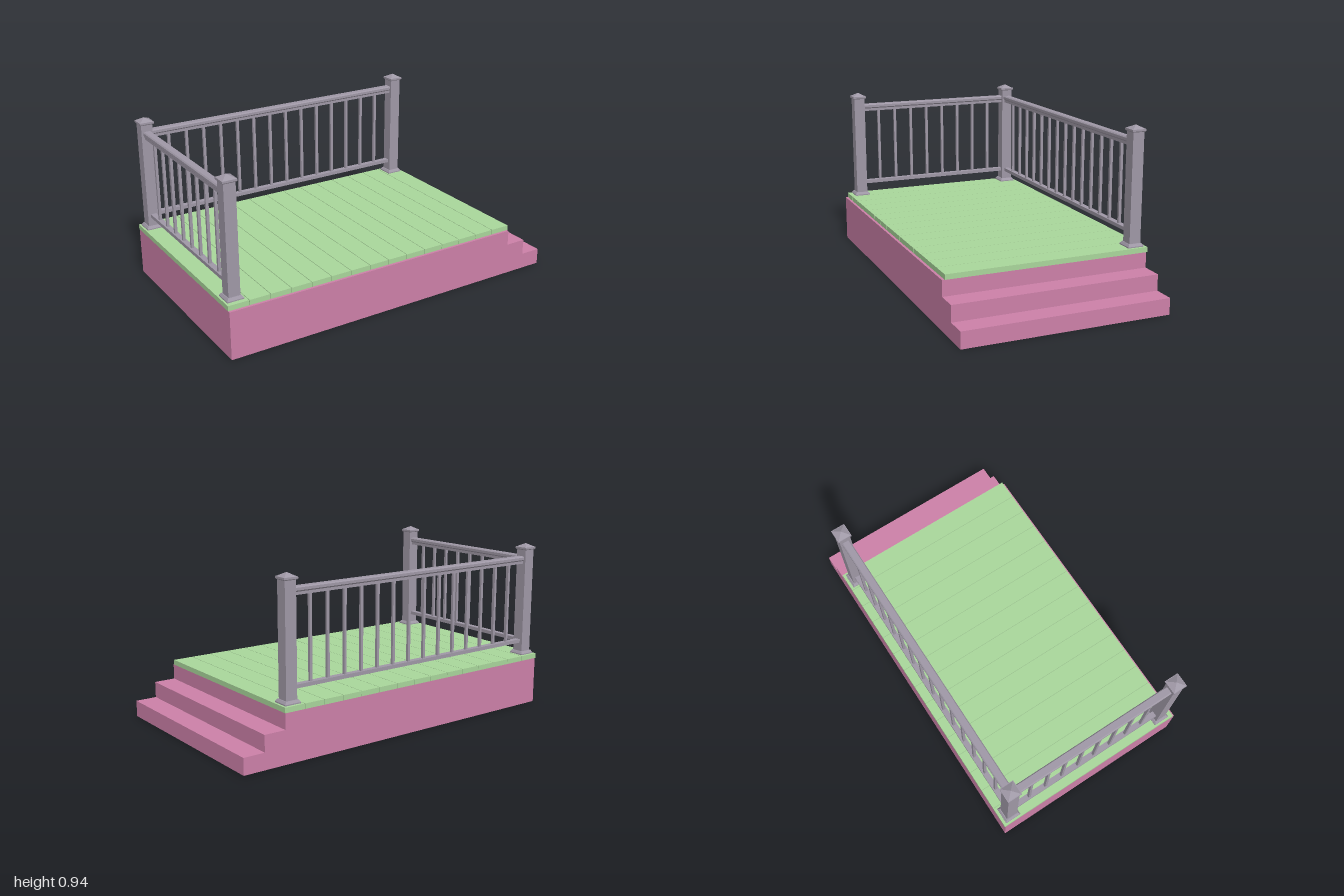
import * as THREE from 'three';

const pink = new THREE.MeshStandardMaterial({ color: 0xcc80a8, side: THREE.DoubleSide });
const green = new THREE.MeshStandardMaterial({ color: 0xa9d69b });
const railGrey = new THREE.MeshStandardMaterial({ color: 0x9f98a6 });

const DECK_Y = 0.293, SKIRT_Y = 0.265;

function add(parent, name, geometry, material, x = 0, y = 0, z = 0) {
  const mesh = new THREE.Mesh(geometry, material);
  mesh.name = name;
  mesh.position.set(x, y, z);
  parent.add(mesh);
  return mesh;
}

function box(parent, name, material, w, h, d, x, y, z) {
  return add(parent, name, new THREE.BoxGeometry(w, h, d), material, x, y, z);
}

// Square frustum with its bottom at y = 0
function frustum(bottom, top, height) {
  const g = new THREE.CylinderGeometry(top / Math.SQRT2, bottom / Math.SQRT2, height, 4).toNonIndexed();
  g.rotateY(Math.PI / 4).translate(0, height / 2, 0);
  g.computeVertexNormals();
  return g;
}

// Hollow skirt with steps, open underneath
function makeSkirt() {
  const skirt = new THREE.Group();
  skirt.name = 'skirtAndSteps';
  const back = -0.57, front = 0.574;
  const depth = front - back, midZ = (front + back) / 2;
  const outline = [[-0.998, 0], [1, 0], [1, 0.09], [0.88, 0.09], [0.88, 0.179], [0.76, 0.179], [0.76, SKIRT_Y], [-0.998, SKIRT_Y]];
  const shape = new THREE.Shape(outline.map(([x, y]) => new THREE.Vector2(x, y)));
  add(skirt, 'frontSkirt', new THREE.ShapeGeometry(shape), pink, 0, 0, front);
  const backGeometry = new THREE.ShapeGeometry(shape.clone());
  backGeometry.scale(-1, 1, 1).rotateY(Math.PI);
  backGeometry.index.array.reverse();
  backGeometry.computeVertexNormals();
  add(skirt, 'backSkirt', backGeometry, pink, 0, 0, back);

  // Risers, treads and the left-hand end
  const riser = (name, x, y0, y1, turn) => {
    add(skirt, name, new THREE.PlaneGeometry(depth, y1 - y0), pink, x, (y0 + y1) / 2, midZ).rotation.y = turn;
  };
  [[1, 0, 0.09], [0.88, 0.09, 0.179], [0.76, 0.179, SKIRT_Y]].forEach(([x, a, b]) => riser('riser', x, a, b, Math.PI / 2));
  riser('endSkirt', -0.998, 0, SKIRT_Y, -Math.PI / 2);
  [[0.94, 0.09], [0.82, 0.179]].forEach(([x, y]) => {
    add(skirt, 'tread', new THREE.PlaneGeometry(0.12, depth), pink, x, y, midZ).rotation.x = -Math.PI / 2;
  });
  // Narrow ledge in front of the boards
  add(skirt, 'frontLedge', new THREE.PlaneGeometry(1.758, 0.02), pink, -0.119, SKIRT_Y - 0.001, front - 0.01).rotation.x = -Math.PI / 2;
  return skirt;
}

function makeDeck() {
  const deck = new THREE.Group();
  deck.name = 'deckBoards';
  const count = 15, pitch = 1.765 / count;
  for (let i = 0; i < count; i++) {
    box(deck, 'board', green, pitch - 0.003, DECK_Y - SKIRT_Y, 1.135, -1 + pitch * (i + 0.5), (DECK_Y + SKIRT_Y) / 2, -0.0075);
  }
  return deck;
}

function makePost(x, z) {
  const post = new THREE.Group();
  post.name = 'post';
  post.position.set(x, 0, z);
  box(post, 'shaft', railGrey, 0.065, 0.905 - DECK_Y, 0.065, 0, (0.905 + DECK_Y) / 2, 0);
  box(post, 'baseTrim', railGrey, 0.092, 0.006, 0.092, 0, DECK_Y + 0.003, 0);
  add(post, 'baseFlare', frustum(0.092, 0.074, 0.013), railGrey, 0, DECK_Y + 0.006, 0);
  add(post, 'capLip', frustum(0.072, 0.08, 0.006), railGrey, 0, 0.904, 0);
  box(post, 'capEdge', railGrey, 0.08, 0.01, 0.08, 0, 0.914, 0);
  add(post, 'capPyramid', frustum(0.074, 0.002, 0.02), railGrey, 0, 0.919, 0);
  return post;
}

// Railing along local x, centred on its own origin
function makeRailing(name, length, balusters) {
  const railing = new THREE.Group();
  railing.name = name;
  // Handrail section: crowned cap, groove and lower strip
  const half = [[0.016, 0.825], [0.016, 0.84], [0.019, 0.844], [0.0225, 0.847], [0.0225, 0.861], [0.017, 0.867]];
  const section = [...half, ...half.map(([x, y]) => [-x, y]).reverse()];
  const shape = new THREE.Shape(section.map(([x, y]) => new THREE.Vector2(x, y)));
  const rail = new THREE.ExtrudeGeometry(shape, { depth: length, bevelEnabled: false });
  rail.translate(0, 0, -length / 2).rotateY(Math.PI / 2);
  add(railing, 'handrail', rail, railGrey);
  box(railing, 'bottomRail', railGrey, length, 0.02, 0.032, 0, 0.371, 0);
  for (let i = 0; i < balusters; i++) {
    box(railing, 'baluster', railGrey, 0.015, 0.455, 0.015, (i - (balusters - 1) / 2) * 0.106, 0.6025, 0);
  }
  return railing;
}

export function createModel() {
  const model = new THREE.Group();
  model.name = 'deckWithRailings';
  model.add(makeSkirt(), makeDeck());

  const left = -0.942, right = 0.705, front = 0.488, back = -0.513;
  model.add(makePost(left, front), makePost(left, back), makePost(right, back));

  const backRailing = makeRailing('backRailing', right - left - 0.06, 14);
  backRailing.position.set((left + right) / 2, 0, back);
  const sideRailing = makeRailing('sideRailing', front - back - 0.06, 8);
  sideRailing.position.set(left, 0, (front + back) / 2);
  sideRailing.rotation.y = Math.PI / 2;
  model.add(backRailing, sideRailing);
  return model;
}
